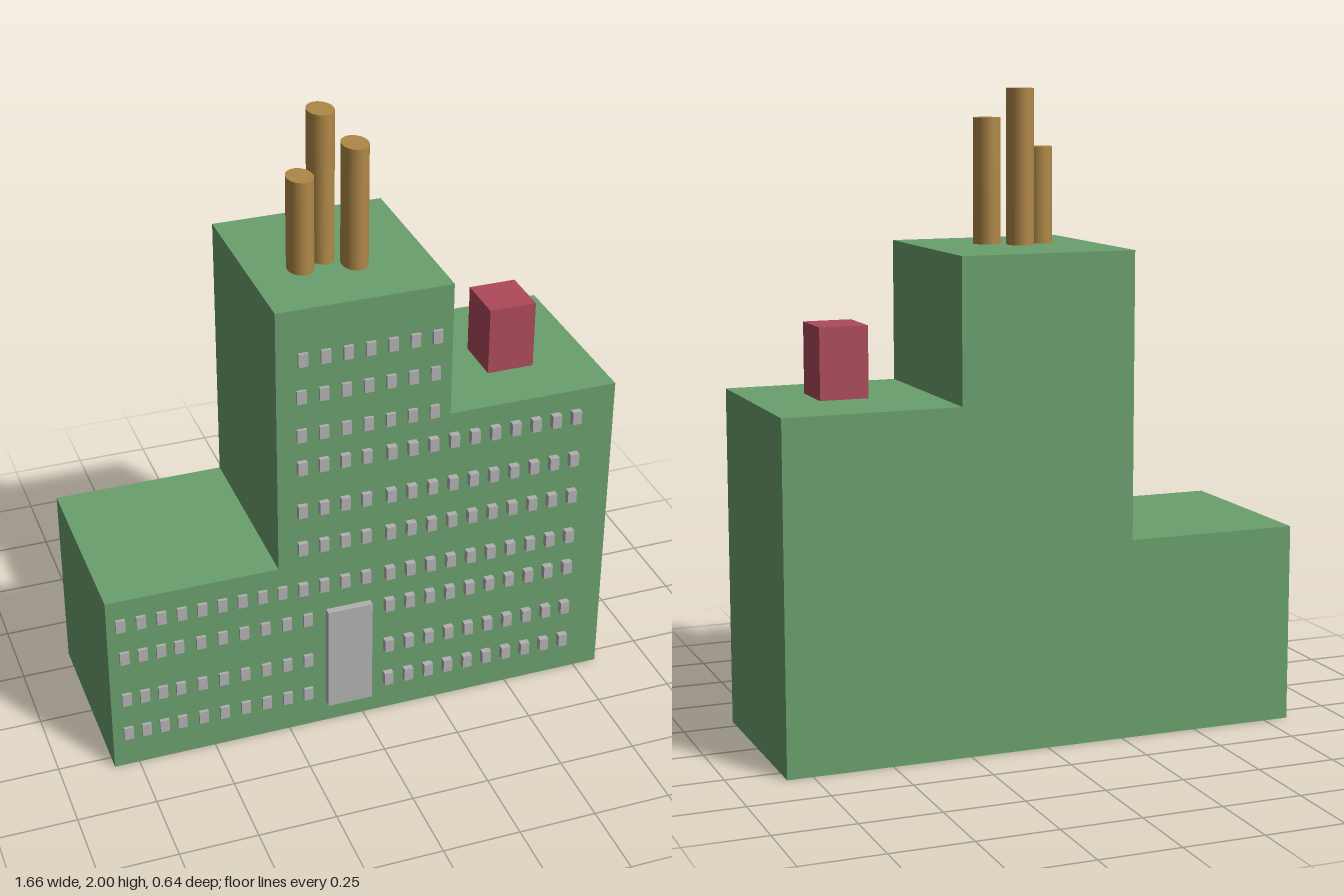
import * as THREE from 'three';

const FRONT = 0.298, BACK = -0.322;

const material = (color) => new THREE.MeshStandardMaterial({ color });
const green = material(0x6a9f6c);
const grey = material(0xb0b0b0);
const red = material(0xad4a5b);
const ochre = material(0xb08848);

export function createModel() {
  const model = new THREE.Group();

  const add = (name, geometry, mat, parent = model) => {
    const mesh = new THREE.Mesh(geometry, mat);
    mesh.name = name;
    parent.add(mesh);
    return mesh;
  };

  // Box given by its lower and upper limits
  const addBox = (name, x0, x1, y0, y1, z0, z1, mat, parent) =>
    add(name, new THREE.BoxGeometry(x1 - x0, y1 - y0, z1 - z0), mat, parent)
      .position.set((x0 + x1) / 2, (y0 + y1) / 2, (z0 + z1) / 2);

  // Stepped building: low wing, tower, middle wing
  const outline = new THREE.Shape([
    [-0.83, 0], [0.83, 0], [0.83, 1.075], [0.277, 1.075],
    [0.277, 1.52], [-0.28, 1.52], [-0.28, 0.628], [-0.83, 0.628],
  ].map(([x, y]) => new THREE.Vector2(x, y)));
  const body = new THREE.ExtrudeGeometry(outline, { depth: FRONT - BACK, bevelEnabled: false });
  add('building', body.translate(0, 0, BACK), green);

  // Entrance door
  addBox('door', -0.126, 0.022, 0.073, 0.44, FRONT - 0.02, 0.322, grey);

  // Rooftop box
  addBox('rooftopBox', 0.48, 0.633, 1.07, 1.297, -0.058, 0.109, red);

  // Oval chimneys: x, z, top
  for (const [x, z, top] of [[-0.118, 0.048, 1.82], [-0.037, 0, 2], [0.046, 0.07, 1.91]]) {
    const chimney = add('chimney', new THREE.CylinderGeometry(1, 1, top - 1.51, 32), ochre);
    chimney.scale.set(0.041, 1, 0.054);
    chimney.position.set(x, (top + 1.51) / 2, z);
  }

  // Rows of windows, evenly spaced between the first and last centre
  const windows = new THREE.Group();
  windows.name = 'windows';
  model.add(windows);
  const windowRows = (heights, first, last, count, front) => {
    for (const y of heights) {
      for (let i = 0; i < count; i++) {
        const x = first + (last - first) * i / (count - 1);
        addBox('window', x - 0.015, x + 0.015, y - 0.022, y + 0.022, FRONT - 0.02, front, grey, windows);
      }
    }
  };
  const middle = [0.985, 0.83, 0.693, 0.54];
  const lower = [0.417, 0.258, 0.126];
  windowRows([1.355], -0.197, 0.226, 7, 0.308); // tower
  windowRows([1.23, 1.097], -0.203, 0.222, 7, 0.308);
  windowRows(middle, -0.203, 0.004, 4, 0.314);
  windowRows([0.54], -0.787, -0.27, 9, 0.308); // low wing
  windowRows(lower, -0.78, -0.606, 4, 0.308);
  windowRows(lower, -0.536, -0.187, 6, 0.308);
  windowRows([...middle, ...lower], 0.083, 0.697, 10, 0.319); // middle wing

  return model;
}
